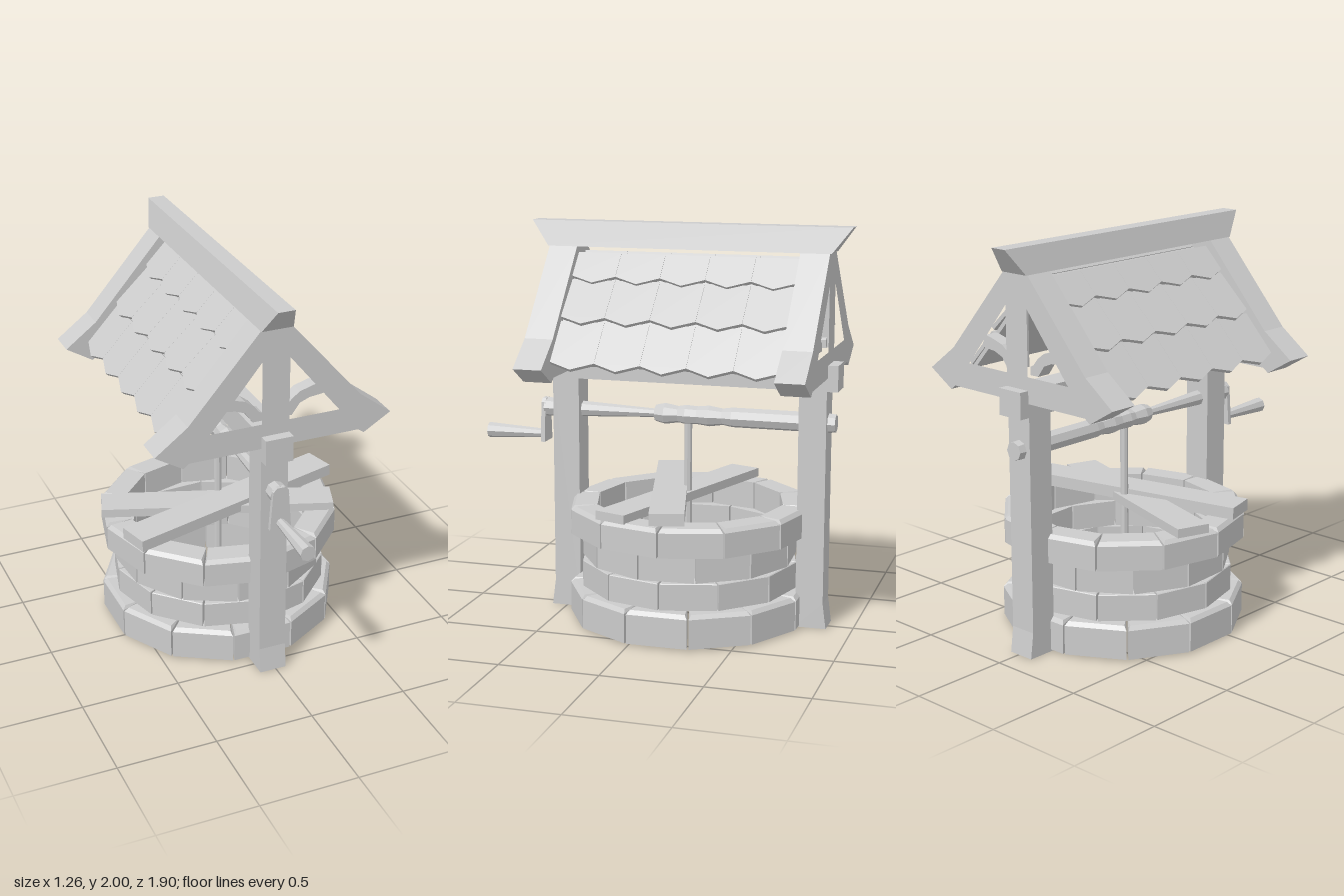
import * as THREE from 'three';
import { ConvexGeometry } from 'three/addons/geometries/ConvexGeometry.js';

const grey = new THREE.MeshStandardMaterial({ color: 0xcccccc });
grey.name = 'plainGrey';

// Faceted mesh helper
function add(parent, name, geometry) {
  const g = geometry.index ? geometry.toNonIndexed() : geometry;
  g.computeVertexNormals();
  const mesh = new THREE.Mesh(g, grey);
  mesh.name = name;
  parent.add(mesh);
  return mesh;
}

const V = (x, y, z) => new THREE.Vector3(x, y, z);
const outline = (pts) => new THREE.Shape(pts.map((p) => new THREE.Vector2(p[0], p[1])));
const mirrorX = (pts) => pts.map(([x, y]) => [-x, y]).reverse();
const extrude = (shape, depth) =>
  new THREE.ExtrudeGeometry(shape, { depth, bevelEnabled: false });

// Turned rod along z from [z, radius] pairs with rising z
function turned(profile, sides) {
  const pts = profile.map(([z, r]) => new THREE.Vector2(r, z));
  return new THREE.LatheGeometry(pts, sides).rotateX(Math.PI / 2);
}

// One ring of wedge-shaped stones with chamfered outer top edges
function stoneRing(parent, name, { y0, y1, radius, inner, count, turn, bevel }) {
  const ring = new THREE.Group();
  ring.name = name;
  parent.add(ring);
  for (let i = 0; i < count; i++) {
    const step = (Math.PI * 2) / count;
    const mid = i * step + turn;
    const layer = (y, inset) => [-1, 1].flatMap((s) => {
      const outerA = mid + s * (step / 2 - 0.008 - inset * 0.8);
      const innerA = mid + s * (step / 2 - 0.008);
      return [
        V(Math.sin(outerA) * (radius - inset), y, Math.cos(outerA) * (radius - inset)),
        V(Math.sin(innerA) * inner, y, Math.cos(innerA) * inner),
      ];
    });
    add(ring, 'stone', new ConvexGeometry([
      ...layer(y0, 0), ...layer(y1 - bevel, 0), ...layer(y1, bevel)]));
  }
}

// Plate lying along the roof slope between two [x, y] points
function slopePlate(parent, name, top, low, width, z, thick, point) {
  const up = V(top[0] - low[0], top[1] - low[1], 0);
  const length = up.length();
  up.normalize();
  const across = V(0, 0, -1);
  const h = width / 2;
  const g = extrude(outline([[-h, point], [0, 0], [h, point], [h, length], [-h, length]]), thick);
  g.translate(0, 0, -thick);
  g.applyMatrix4(new THREE.Matrix4()
    .makeBasis(across, up, across.clone().cross(up))
    .setPosition(low[0], low[1], z));
  add(parent, name, g);
}

// Plank from a to b
function plank(parent, name, a, b, width, thick) {
  const d = b.clone().sub(a);
  const m = add(parent, name, new THREE.BoxGeometry(d.length(), thick, width));
  const x = d.normalize();
  const z = x.clone().cross(V(0, 1, 0)).normalize();
  m.quaternion.setFromRotationMatrix(new THREE.Matrix4().makeBasis(x, z.clone().cross(x), z));
  m.position.copy(a).add(b).multiplyScalar(0.5);
}

export function createModel() {
  const model = new THREE.Group();
  model.name = 'wishingWell';
  const well = new THREE.Group();
  well.name = 'wellBody';
  well.position.set(-0.015, 0, -0.145);
  model.add(well);

  // Stone wall
  const wall = new THREE.Group();
  wall.name = 'stoneWall';
  well.add(wall);
  const half = Math.PI / 12;
  stoneRing(wall, 'baseCourse', { y0: 0.01, y1: 0.178, radius: 0.61, inner: 0.49, count: 12, turn: 0, bevel: 0.02 });
  stoneRing(wall, 'lowerCourse', { y0: 0.182, y1: 0.316, radius: 0.555, inner: 0.46, count: 12, turn: half, bevel: 0.004 });
  stoneRing(wall, 'upperCourse', { y0: 0.32, y1: 0.455, radius: 0.545, inner: 0.46, count: 12, turn: 0.06, bevel: 0.004 });
  stoneRing(wall, 'rimCourse', { y0: 0.46, y1: 0.603, radius: 0.615, inner: 0.48, count: 12, turn: half + 0.02, bevel: 0.02 });

  // Loose planks crossing the rim
  plank(well, 'lowerPlank', V(-0.59, 0.627, -0.14), V(0.54, 0.622, 0.25), 0.17, 0.045);
  plank(well, 'upperPlank', V(-0.56, 0.632, 0.25), V(0.62, 0.654, -0.06), 0.17, 0.06);

  // Front and back: post and gable frame
  for (const s of [1, -1]) {
    const end = new THREE.Group();
    end.name = s > 0 ? 'frontFrame' : 'backFrame';
    end.rotation.y = s > 0 ? 0 : Math.PI;
    well.add(end);

    const post = extrude(outline([[0.57, 0], [0.725, 0], [0.708, 0.13], [0.708, 1.21], [0.57, 1.21]]), 0.14);
    post.rotateY(-Math.PI / 2).translate(0.07, 0, 0);
    add(end, 'post', post);

    const side = [[0.08, 1.875], [0.44, 1.46], [0.605, 1.335], [0.465, 1.25], [0.435, 1.272]];
    const frame = outline([...side, ...mirrorX(side)]);
    const gap = [[0.07, 1.72], [0.33, 1.4], [0.07, 1.4]];
    frame.holes.push(outline(gap), outline(mirrorX(gap)));
    add(end, 'gableFrame', extrude(frame, 0.145).translate(0, 0, 0.567));

    // Curved braces
    const brace = [[0.05, 1.4], [0.1, 1.4], [0.14, 1.455], [0.19, 1.475], [0.28, 1.485],
      [0.25, 1.545], [0.2, 1.533], [0.14, 1.515], [0.1, 1.485], [0.07, 1.45], [0.05, 1.44]];
    for (const b of [brace, mirrorX(brace)])
      add(end, 'curvedBrace', extrude(outline(b), 0.07).translate(0, 0, 0.605));
  }

  // Long beam over the posts
  add(well, 'longBeam', new THREE.BoxGeometry(0.142, 0.13, 1.525)).position.y = 1.27;

  // Two roof slopes with pointed shingles
  const rows = [[[0.05, 1.845], [0.18, 1.71]], [[0.15, 1.72], [0.35, 1.53]], [[0.32, 1.535], [0.51, 1.33]]];
  for (const s of [1, -1]) {
    const slope = new THREE.Group();
    slope.name = s > 0 ? 'leftRoof' : 'rightRoof';
    slope.rotation.y = s > 0 ? 0 : Math.PI;
    well.add(slope);
    for (const [top, low] of rows)
      for (let i = 0; i < 5; i++)
        slopePlate(slope, 'shingle', top, low, 0.228, (i - 2) * 0.229, 0.02, 0.04);
    slopePlate(slope, 'roofBoard', [0.03, 1.83], [0.455, 1.35], 1.145, 0, 0.02, 0);
  }

  // Ridge cap, longer and narrower at the top
  const ridge = [];
  for (const sx of [1, -1])
    for (const sz of [1, -1])
      ridge.push(V(sx * 0.08, 1.875, sz * 0.72), V(sx * 0.043, 2, sz * 0.815));
  add(well, 'ridgeCap', new ConvexGeometry(ridge));

  // Windlass: tapered axle with rope winding in the middle
  const axle = [[-0.745, 0], [-0.745, 0.045], [-0.7, 0.05], [-0.22, 0.05], [-0.17, 0.042],
    [-0.1, 0.053], [-0.04, 0.046], [0.02, 0.05], [0.06, 0.042], [0.13, 0.054],
    [0.18, 0.042], [0.185, 0.022], [0.77, 0.05], [0.775, 0]];
  add(well, 'axle', turned(axle, 8)).position.y = 1.037;
  add(well, 'rope', new THREE.CylinderGeometry(0.02, 0.02, 0.97, 8)).position.set(0, 0.515, 0.01);

  // Crank plate and handle
  const crank = outline([[-0.055, 0.86], [0.055, 0.86], [0.04, 1.065], [0.02, 1.085], [-0.02, 1.085], [-0.04, 1.065]]);
  add(well, 'crankArm', extrude(crank, 0.022).translate(0, 0, 0.763));
  const handle = [[0.77, 0], [0.77, 0.022], [1.09, 0.04], [1.09, 0]];
  add(well, 'crankHandle', turned(handle, 8)).position.y = 0.895;

  return model;
}
